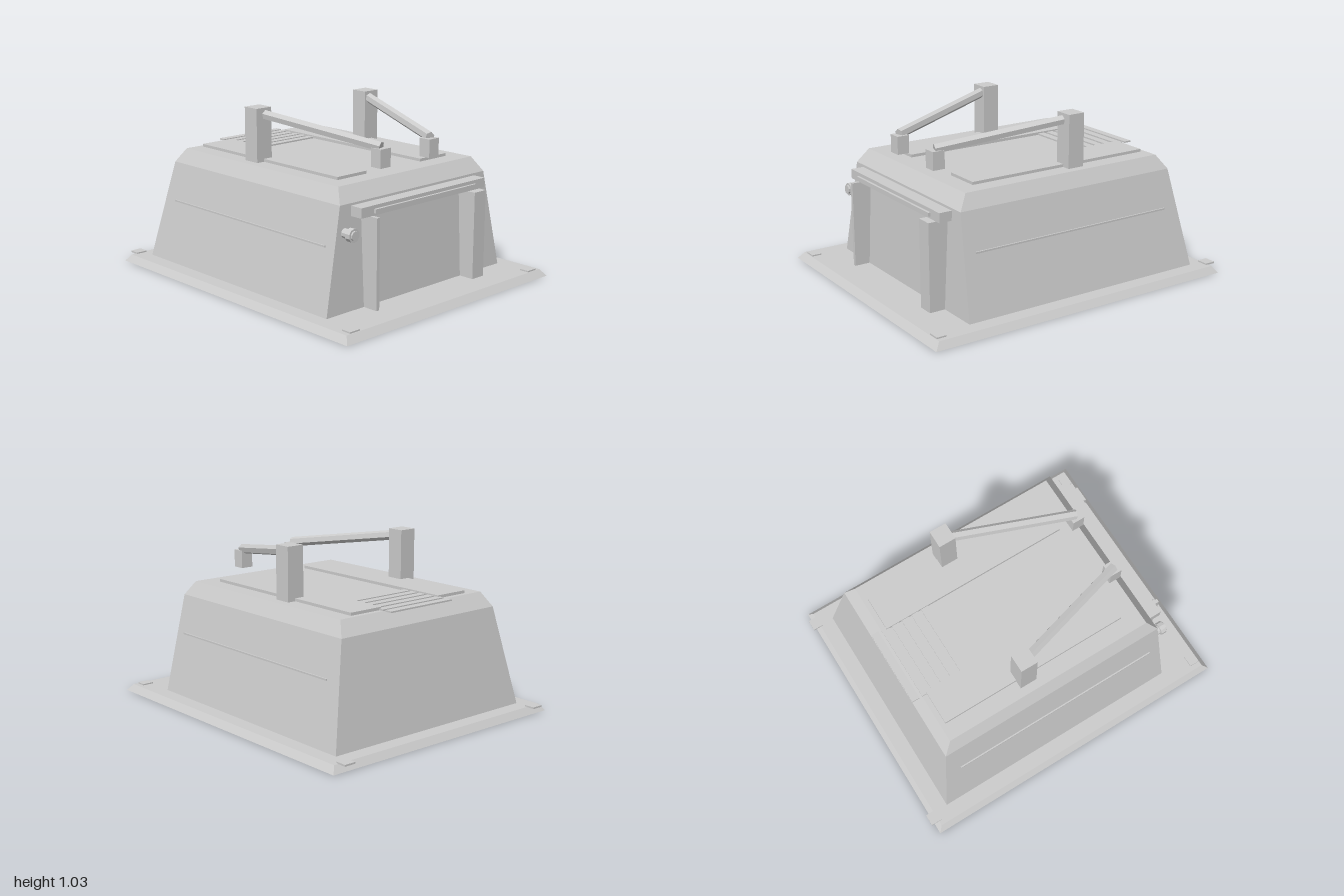
import * as THREE from 'three';

const material = new THREE.MeshStandardMaterial({ color: 0xcccccc, flatShading: true });

export function createModel() {
  const root = new THREE.Group();

  const add = (name, geometry) => {
    const mesh = new THREE.Mesh(geometry, material);
    mesh.name = name;
    root.add(mesh);
    return mesh;
  };

  // Box given by its limits on each axis
  const box = (name, x0, x1, y0, y1, z0, z1) => {
    const mesh = add(name, new THREE.BoxGeometry(x1 - x0, y1 - y0, z1 - z0));
    mesh.position.set((x0 + x1) / 2, (y0 + y1) / 2, (z0 + z1) / 2);
    return mesh;
  };

  // Box mirrored to the left (+x) and right (-x)
  const pair = (name, x0, x1, ...rest) => {
    box(name + 'Left', x0, x1, ...rest);
    box(name + 'Right', -x1, -x0, ...rest);
  };

  // Closed solid through stacked rectangles [y, halfWidth, zBack, zFront]
  const loft = (name, levels) => {
    const points = [], index = [];
    for (const [y, w, zb, zf] of levels) {
      points.push(-w, y, zf, w, y, zf, w, y, zb, -w, y, zb);
    }
    const last = (levels.length - 1) * 4;
    for (let r = 0; r < last; r += 4) {
      for (let i = 0; i < 4; i++) {
        const a = r + i, b = r + (i + 1) % 4;
        index.push(a, b, b + 4, a, b + 4, a + 4);
      }
    }
    index.push(0, 2, 1, 0, 3, 2, last, last + 1, last + 2, last, last + 2, last + 3);
    const indexed = new THREE.BufferGeometry();
    indexed.setAttribute('position', new THREE.Float32BufferAttribute(points, 3));
    indexed.setIndex(index);
    const geometry = indexed.toNonIndexed();
    geometry.computeVertexNormals();
    return add(name, geometry);
  };

  // Base plate and tapered housing
  loft('basePlate', [[0, 0.83, -0.98, 1.0], [0.04, 0.8, -0.95, 0.965]]);
  loft('housing', [
    [0.04, 0.71, -0.86, 0.72],
    [0.63, 0.585, -0.76, 0.69],
    [0.715, 0.54, -0.7, 0.63],
  ]);

  // Corner tabs on the base
  pair('frontTab', 0.7, 0.77, 0.038, 0.048, 0.9, 0.96);
  pair('backTab', 0.7, 0.77, 0.038, 0.048, -1.0, -0.935);

  // Side ribs
  pair('sideRib', 0.61, 0.64, 0.4, 0.41, -0.7, 0.63);

  // Roof panels and the row of vent slats at the back
  pair('roofPanel', 0.22, 0.44, 0.71, 0.732, -0.67, 0.52);
  for (let i = 0; i < 6; i++) {
    const z = -0.742 + i * 0.065;
    box('ventSlat', -0.235, 0.235, 0.715, 0.724, z - 0.023, z + 0.023);
  }

  // Posts, sloping six-sided arms and hanging end blocks
  pair('post', 0.38, 0.49, 0.7, 1.03, -0.2, -0.095);
  pair('endBlock', 0.157, 0.236, 0.765, 0.872, 0.57, 0.645);
  for (const side of [1, -1]) {
    const from = new THREE.Vector3(side * 0.435, 0.995, -0.15);
    const to = new THREE.Vector3(side * 0.197, 0.877, 0.612);
    const direction = to.clone().sub(from);
    const geometry = new THREE.CylinderGeometry(0.03, 0.03, direction.length(), 6);
    geometry.rotateY(Math.PI / 6);
    const arm = add(side > 0 ? 'armLeft' : 'armRight', geometry);
    arm.position.copy(from).add(to).multiplyScalar(0.5);
    arm.quaternion.setFromUnitVectors(new THREE.Vector3(0, 1, 0), direction.normalize());
  }

  // Door surround: lintel, rail and two unequal jambs
  box('lintel', -0.505, 0.5, 0.56, 0.617, 0.66, 0.77);
  box('lintelRail', -0.41, 0.41, 0.574, 0.597, 0.76, 0.785);
  box('narrowJamb', -0.432, -0.41, 0.04, 0.558, 0.68, 0.815);
  box('wideJamb', 0.363, 0.46, 0.04, 0.558, 0.68, 0.815);

  // Knob beside the door
  const knob = (name, radius, z0, z1) => {
    const geometry = new THREE.CylinderGeometry(radius, radius, z1 - z0, 10);
    geometry.rotateX(Math.PI / 2);
    add(name, geometry).position.set(-0.556, 0.477, (z0 + z1) / 2);
  };
  knob('knobStem', 0.028, 0.68, 0.78);
  knob('knobCollar', 0.039, 0.737, 0.77);

  return root;
}
